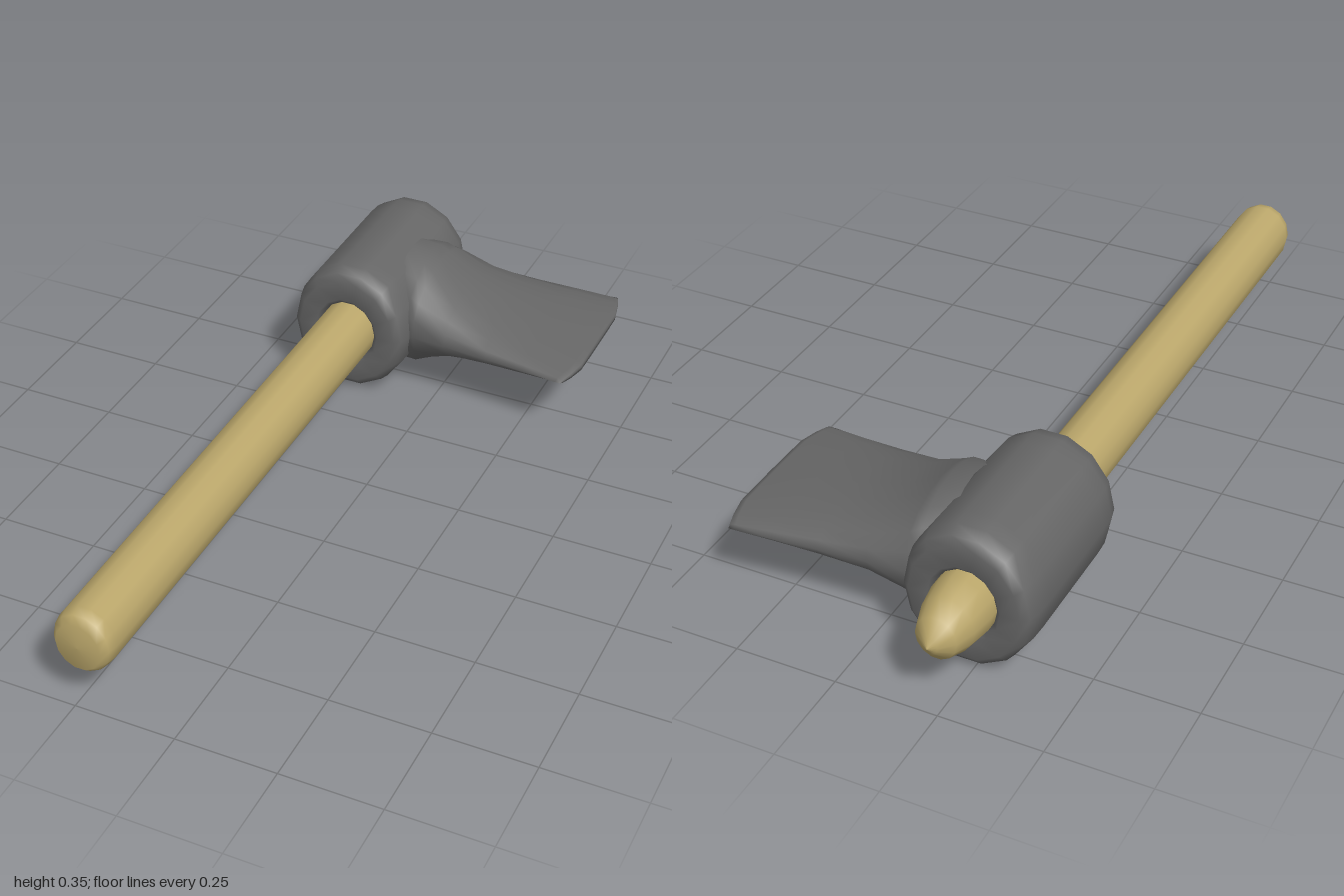
import * as THREE from 'three';

const CX = -0.23, CY = 0.183, HEAD_Z = -0.603;
const wood = new THREE.MeshStandardMaterial({ color: 0xbba76b });
const iron = new THREE.MeshStandardMaterial({ color: 0x666666 });

// Revolves [radius, z] points around the handle axis, stretched to an oval
function turned(name, points, rx, ry, material) {
  const profile = points.map(([r, z]) => new THREE.Vector2(r, z));
  const geo = new THREE.LatheGeometry(profile, 14, Math.PI / 2);
  geo.rotateX(Math.PI / 2);
  geo.scale(rx, ry, 1);
  geo.translate(CX, CY, 0);
  const mesh = new THREE.Mesh(geo, material);
  mesh.name = name;
  return mesh;
}

// Blade: oval sections [x, half height, half width in z, centre z] lofted along x
function bladeGeometry() {
  const sections = [
    [-0.14, 0.163, 0.15, -0.603],
    [-0.085, 0.153, 0.178, -0.604],
    [-0.06, 0.135, 0.188, -0.605],
    [0.03, 0.083, 0.193, -0.605],
    [0.15, 0.054, 0.203, -0.605],
    [0.26, 0.035, 0.214, -0.605],
    [0.375, 0.019, 0.223, -0.604],
    [0.39, 0.011, 0.223, -0.604],
    [0.391, 0, 0.223, -0.604],
  ];
  const N = 20, pos = [], index = [];
  sections.forEach(([x, h, w, zc], i) => {
    for (let j = 0; j < N; j++) {
      const a = (j / N) * Math.PI * 2;
      const c = Math.cos(a), s = Math.sin(a);
      // the cutting edge falls back slightly at both corners
      const back = i > 5 ? 0.024 * Math.max(0, Math.abs(c) - 0.66) / 0.34 : 0;
      const y = h * Math.sign(s) * Math.pow(Math.abs(s), 0.9);
      pos.push(x - back, CY + y, zc + w * c);
    }
  });
  for (let i = 0; i < sections.length - 1; i++) {
    for (let j = 0; j < N; j++) {
      const k = (j + 1) % N;
      const a = i * N + j, b = i * N + k, c = a + N, d = b + N;
      index.push(a, b, c, b, d, c);
    }
  }
  const geo = new THREE.BufferGeometry();
  geo.setAttribute('position', new THREE.Float32BufferAttribute(pos, 3));
  geo.setIndex(index);
  // section loops run from +z to +y, so wind outward
  const arr = geo.index.array;
  for (let t = 0; t < arr.length; t += 3) [arr[t + 1], arr[t + 2]] = [arr[t + 2], arr[t + 1]];
  geo.computeVertexNormals();
  return geo;
}

export function createModel() {
  const group = new THREE.Group();
  group.name = 'axe';

  // Handle with a domed rear tip and a bevelled butt
  group.add(turned('handle', [
    [0, -1], [0.25, -0.988], [0.66, -0.96], [0.88, -0.91], [1, -0.85],
    [1, 0.955], [0.93, 0.98], [0.74, 0.997], [0, 1],
  ], 0.075, 0.083, wood));

  // Rounded eye of the head, hollow around the handle
  const half = 0.233;
  const edge = [[0.47, 0.222], [0.54, 0.233], [0.83, 0.233], [0.94, 0.218], [0.99, 0.185]];
  const outer = [
    ...edge.map(([r, z]) => [r, HEAD_Z - z]),
    [1, HEAD_Z - half * 0.6], [1, HEAD_Z + half * 0.6],
    ...edge.map(([r, z]) => [r, HEAD_Z + z]).reverse(),
  ];
  group.add(turned('headEye', [[0.45, HEAD_Z], ...outer, [0.45, HEAD_Z]], 0.162, 0.18, iron));

  // Flared blade
  const blade = new THREE.Mesh(bladeGeometry(), iron);
  blade.name = 'blade';
  group.add(blade);

  return group;
}
